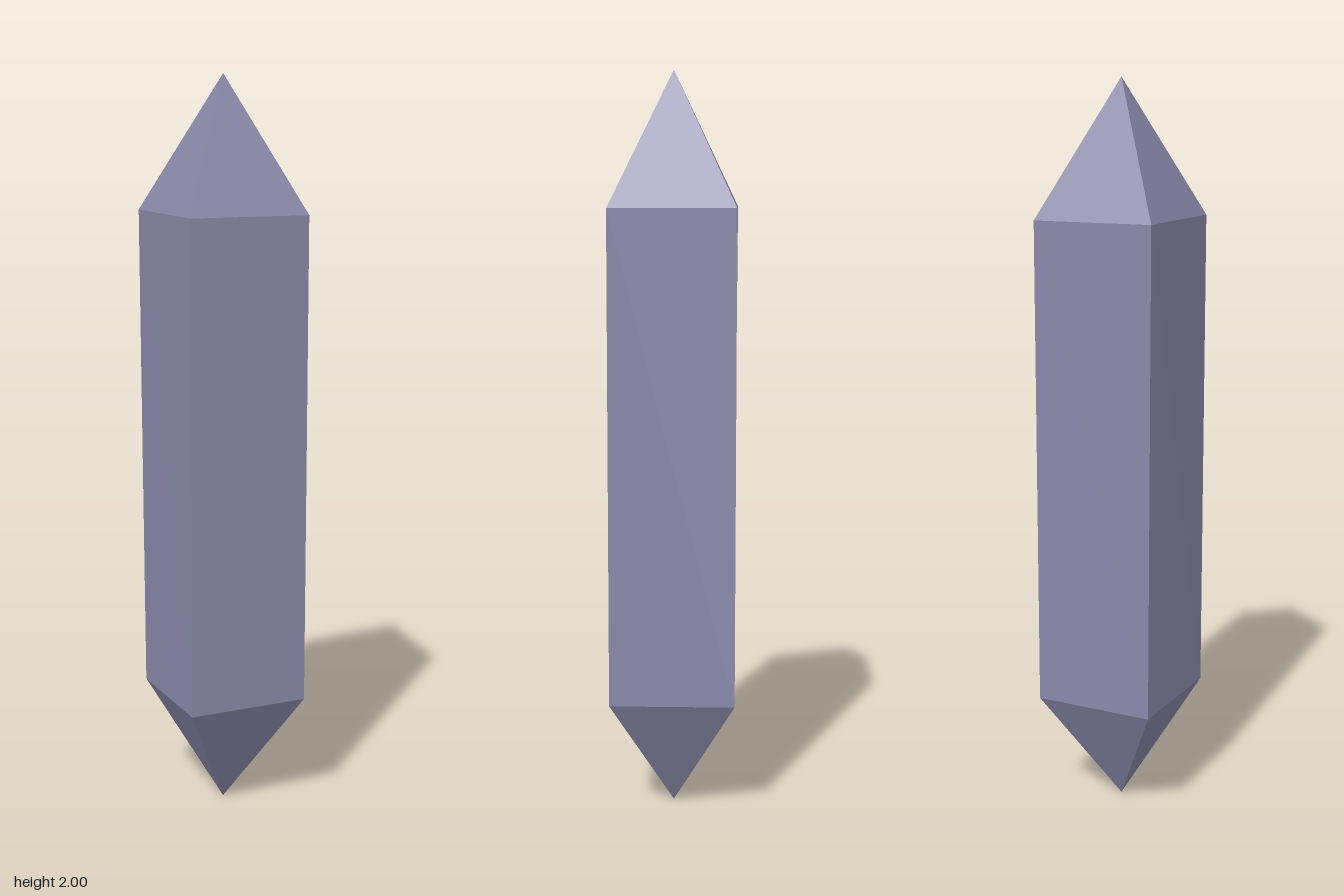
import * as THREE from 'three';

export function createModel() {
  const group = new THREE.Group();
  group.name = 'crystal';

  // Four-sided shard: lower point, straight shaft, upper point
  const r = 0.168 * Math.SQRT2;
  const profile = [[0, 0], [r, 0.32], [r, 1.64], [0, 2]].map(([x, y]) => new THREE.Vector2(x, y));
  const geometry = new THREE.LatheGeometry(profile, 4, Math.PI / 4);

  // The back right edge leans slightly outward towards the top
  const pos = geometry.attributes.position;
  for (let i = 0; i < pos.count; i++) {
    const x = pos.getX(i), y = pos.getY(i), z = pos.getZ(i);
    if (x < -0.1 && z < -0.1) {
      const top = y > 1;
      const c = top ? -0.171 : -0.165;
      pos.setXYZ(i, c, top ? 1.645 : y, c);
    }
  }
  geometry.computeVertexNormals();

  const material = new THREE.MeshStandardMaterial({ color: 0x8a88a8, flatShading: true });
  const shard = new THREE.Mesh(geometry, material);
  shard.name = 'crystalShard';
  group.add(shard);
  return group;
}
